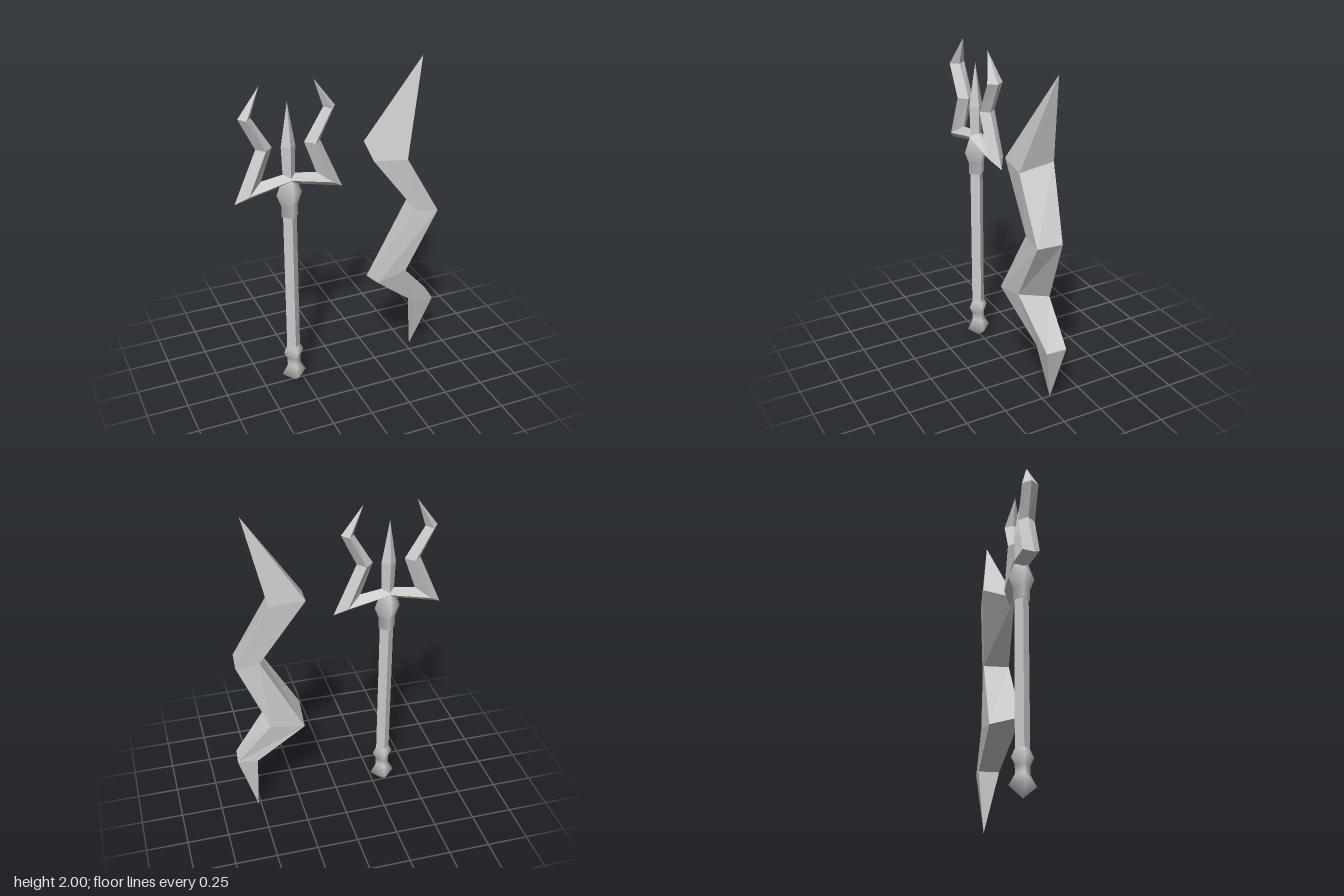
import * as THREE from 'three';

const steel = new THREE.MeshStandardMaterial({ color: 0xcccccc });
steel.name = 'steel grey';

function part(name, geometry) {
  const mesh = new THREE.Mesh(geometry, steel);
  mesh.name = name;
  return mesh;
}

// Faceted skin over four-cornered rings (counter-clockwise seen along the path's end).
// A ring holding a single point makes a tip.
function loft(rings) {
  const pos = [];
  const tri = (a, b, c) => pos.push(...a, ...b, ...c);
  for (let k = 0; k < rings.length - 1; k++) {
    const lo = rings[k], hi = rings[k + 1];
    for (let i = 0; i < 4; i++) {
      const j = (i + 1) % 4;
      if (lo.length === 1) tri(lo[0], hi[j], hi[i]);
      else if (hi.length === 1) tri(lo[i], lo[j], hi[0]);
      else {
        tri(lo[i], lo[j], hi[j]);
        tri(lo[i], hi[j], hi[i]);
      }
    }
  }
  const g = new THREE.BufferGeometry();
  g.setAttribute('position', new THREE.Float32BufferAttribute(pos, 3));
  g.computeVertexNormals();
  return g;
}

// Four-sided turned part, with corners on the x and z axes
function turned(profile, faceted) {
  const g = new THREE.LatheGeometry(profile.map(([r, y]) => new THREE.Vector2(r, y)), 4);
  if (!faceted) return g;
  const flat = g.toNonIndexed();
  flat.computeVertexNormals();
  return flat;
}

// Side prong: each station gives outer, middle and inner points in the xy plane
function prong(side) {
  const depth = 0.049;
  const stations = [
    [[0, 1.375], [0, 1.41], [0, 1.44]],
    [[0.325, 1.3], [0.25, 1.355], [0.165, 1.415]],
    [[0.19, 1.61], [0.145, 1.61], [0.095, 1.61]],
    [[0.282, 1.8], [0.245, 1.8], [0.21, 1.8]],
  ];
  const rings = stations.map(([o, m, n]) => {
    const ring = [
      [side * m[0], m[1], depth],
      [side * o[0], o[1], 0],
      [side * m[0], m[1], -depth],
      [side * n[0], n[1], 0],
    ];
    return side > 0 ? ring : ring.reverse();
  });
  rings.push([[side * 0.155, 1.97, 0]]);
  return loft(rings);
}

export function createModel() {
  const model = new THREE.Group();
  model.name = 'tridentAndBolt';

  // Trident
  const trident = new THREE.Group();
  trident.name = 'trident';
  trident.position.set(-0.313, 0, 0.011);
  trident.add(
    part('pommel', turned([
      [0, 0.005], [0.077, 0.07], [0.042, 0.135], [0.043, 0.185],
      [0.063, 0.228], [0.042, 0.275],
    ])),
    part('shaft', turned([[0.042, 0.25], [0.042, 1.18]], true)),
    part('collar', turned([
      [0.04, 1.17], [0.051, 1.17], [0.051, 1.24], [0.077, 1.31], [0.05, 1.385], [0.04, 1.41],
    ])),
    part('centreSpike', turned([[0.036, 1.4], [0.043, 1.6], [0, 1.86]], true)),
    part('leftProng', prong(1)),
    part('rightProng', prong(-1)),
  );
  model.add(trident);

  // Lightning bolt: corners run front right-hand, front left-hand, back left-hand, back right-hand
  model.add(part('lightningBolt', loft([
    [[0.52, 0.02, -0.04]],
    [[0.505, 0.4, 0.05], [0.625, 0.405, 0.05], [0.637, 0.41, -0.07], [0.515, 0.4, -0.077]],
    [[0.203, 0.655, 0.12], [0.395, 0.695, 0.11], [0.425, 0.645, -0.08], [0.215, 0.6, -0.07]],
    [[0.455, 1.09, 0.1], [0.597, 1.07, 0.11], [0.61, 1.07, -0.042], [0.47, 1.09, -0.06]],
    [[0.18, 1.45, 0.08], [0.385, 1.435, 0.105], [0.412, 1.475, -0.095], [0.205, 1.495, -0.117]],
    [[0.533, 2, -0.038]],
  ])));
  return model;
}
